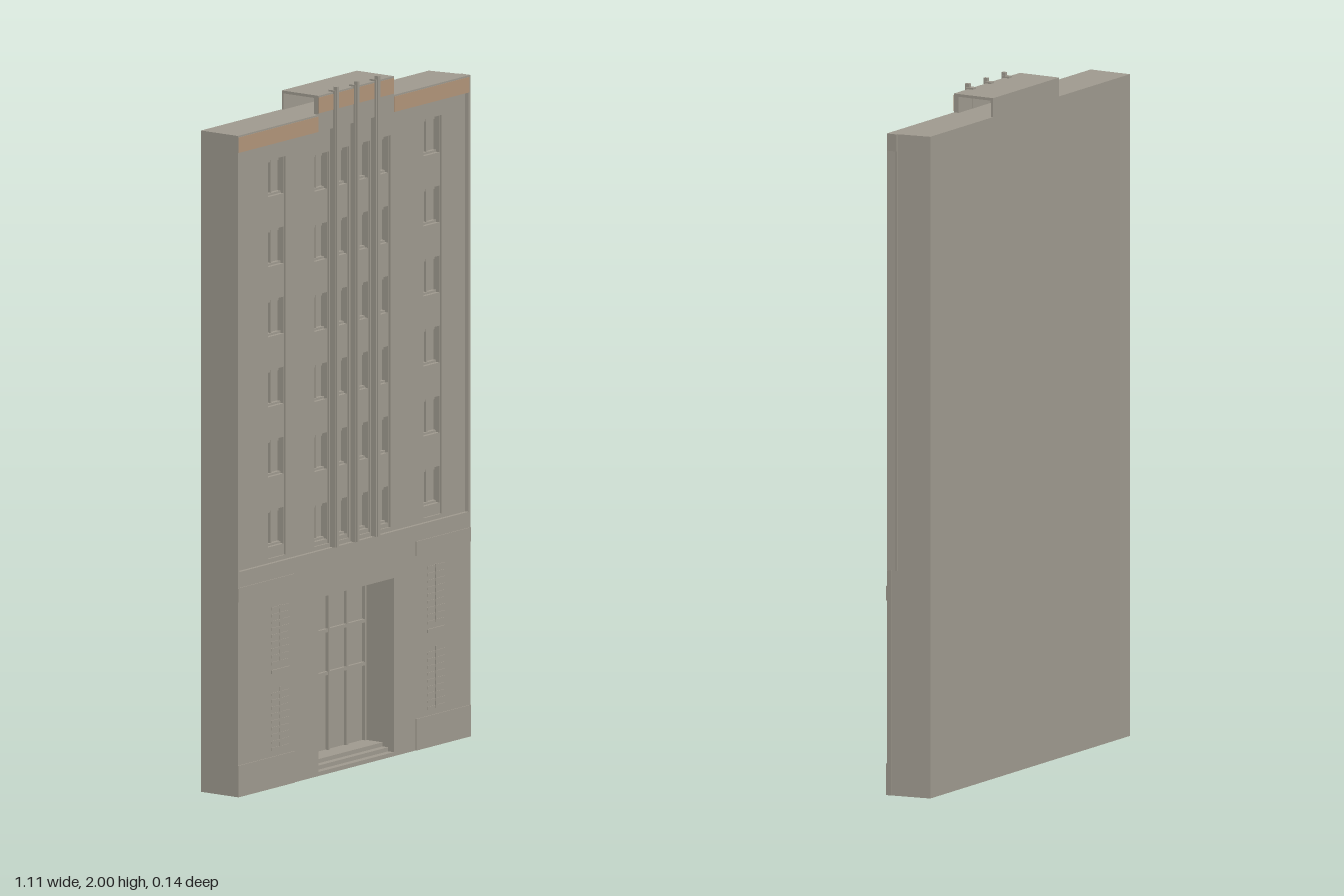
import * as THREE from 'three';

export function createModel() {
  const model = new THREE.Group();
  model.name = 'building';
  const stone = new THREE.MeshStandardMaterial({ color: 0x9e998e });
  stone.name = 'grey stone';
  const tan = new THREE.MeshStandardMaterial({ color: 0xb09479 });
  tan.name = 'tan cornice';

  const add = (name, geometry, material = stone) => {
    const mesh = new THREE.Mesh(geometry, material);
    mesh.name = name;
    model.add(mesh);
    return mesh;
  };
  // Box given by its limits
  const box = (name, x0, x1, y0, y1, z0, z1, material) => {
    const g = new THREE.BoxGeometry(x1 - x0, y1 - y0, z1 - z0);
    g.translate((x0 + x1) / 2, (y0 + y1) / 2, (z0 + z1) / 2);
    return add(name, g, material);
  };
  // Floor outline [x, z] raised from y0 to y1
  const plan = (name, pts, y0, y1) => {
    const shape = new THREE.Shape(pts.map(([x, z]) => new THREE.Vector2(x, -z)));
    const g = new THREE.ExtrudeGeometry(shape, { depth: y1 - y0, bevelEnabled: false });
    g.rotateX(-Math.PI / 2).translate(0, y0, 0);
    return add(name, g);
  };
  const rect = (Type, x0, x1, y0, y1) => new Type([
    new THREE.Vector2(x0, y0), new THREE.Vector2(x1, y0),
    new THREE.Vector2(x1, y1), new THREE.Vector2(x0, y1)]);
  // Upright panel with rectangular holes [x0, x1, y0, y1]
  const panel = (name, [x0, x1, y0, y1], holes, z0, z1) => {
    const shape = rect(THREE.Shape, x0, x1, y0, y1);
    holes.forEach((h) => shape.holes.push(rect(THREE.Path, ...h)));
    const g = new THREE.ExtrudeGeometry(shape, { depth: z1 - z0, bevelEnabled: false });
    return add(name, g.translate(0, 0, z0));
  };

  const L = -0.555, R = 0.552, RB = 0.53, F = 0.062, B = -0.07, roofY = 1.93;
  const doorL = -0.17, doorR = 0.188, doorTop = 0.52, ledge = 0.656;

  // Outer shell, open underneath, with a slanting right side
  box('backWall', L, RB, 0, roofY, B, B + 0.008);
  box('leftEndWall', L, L + 0.008, 0, roofY, B, F);
  plan('rightEndWall', [[R - 0.008, F], [R, F], [RB, B], [RB - 0.008, B]], 0, roofY);
  plan('roof', [[L, F], [R, F], [RB, B], [L, B]], roofY - 0.01, roofY);

  // Lower front wall around the entrance
  box('lowerWallLeft', L, doorL, 0, ledge, 0.046, F);
  box('lowerWallRight', doorR, R, 0, ledge, 0.046, F);
  box('lowerWallOverDoor', doorL, doorR, doorTop, ledge, 0.046, F);

  // Window columns: x limits, first sill, window height
  const columns = [
    [-0.397, -0.312, 0.70], [0.345, 0.43, 0.70],
    [-0.175, -0.105, 0.68], [-0.08, -0.01, 0.68], [0.02, 0.09, 0.68], [0.115, 0.186, 0.68],
  ];
  const winH = 0.109, step = 0.2045, rows = 6;
  const channels = columns.map(([x0, x1, y]) => [x0, x1, 0.668, y + step * (rows - 1) + winH]);

  // Upper front wall, set back, with a tall channel for each column
  panel('upperWall', [L + 0.004, R - 0.004, ledge, 1.88], channels, 0.03, 0.051);
  columns.forEach(([x0, x1, y], i) => {
    const wins = [];
    for (let r = 0; r < rows; r++) {
      const s = y + r * step;
      wins.push([x0 + 0.003, x1 - 0.003, s, s + winH - 0.002]);
    }
    panel('spandrels', channels[i], wins, 0.024, 0.045);
    box('windowPanes', x0, x1, channels[i][2], channels[i][3], 0.012, 0.022);
    wins.forEach(([a, b, s, t]) => {
      const m = (a + b) / 2;
      box('windowMullion', m - 0.003, m + 0.003, s, t, 0.022, 0.03);
      box('windowHead', a, b, t - 0.012, t, 0.022, 0.028);
      box('windowSill', a, b, s, s + 0.006, 0.022, 0.034);
    });
  });

  // Cornice bands with tan facing
  box('corniceBand', L, R, 1.88, roofY, 0.03, F);
  for (const [a, b] of [[L + 0.004, doorL - 0.002], [doorR + 0.002, R - 0.004]]) {
    box('corniceFacing', a, b, 1.88, 1.925, F, F + 0.001, tan);
  }

  // Raised centre parapet, open at both ends
  box('parapetFront', doorL, doorR, roofY, 1.985, 0.046, F);
  box('parapetFacing', doorL, doorR, roofY + 0.004, 1.98, F, F + 0.001, tan);
  box('parapetTop', doorL, doorR, 1.977, 1.985, B, F);
  box('parapetBack', doorL, doorR, roofY, 1.985, B, B + 0.007);

  // Tall fins between the centre windows
  for (const x of [-0.092, 0.006, 0.104]) {
    box('fin', x - 0.009, x + 0.009, ledge, 1.99, 0.045, 0.068);
    box('finRidge', x - 0.005, x + 0.005, ledge, 2, 0.06, 0.073);
  }

  // Deep entrance recess with glazed screen and steps
  const doorZ = -0.045;
  box('entranceJambLeft', doorL - 0.006, doorL, 0, doorTop, doorZ, 0.05);
  box('entranceJambRight', doorR, doorR + 0.006, 0, doorTop, doorZ, 0.05);
  box('entranceCeiling', doorL, doorR, doorTop, doorTop + 0.006, doorZ, 0.05);
  box('entranceScreen', doorL, doorR, 0, doorTop, doorZ - 0.006, doorZ);
  for (let i = 0; i <= 4; i++) {
    const x = doorL + 0.004 + (i * (doorR - doorL - 0.008)) / 4;
    box('entranceMullion', x - 0.004, x + 0.004, 0.03, doorTop, doorZ, doorZ + 0.01);
  }
  for (const y of [0.26, 0.385, 0.512]) {
    box('entranceTransom', doorL, doorR, y - 0.005, y + 0.005, doorZ, doorZ + 0.009);
  }
  for (let i = 0; i < 3; i++) {
    box('entranceStep', doorL, doorR, i * 0.012, (i + 1) * 0.012, doorZ, F - i * 0.02);
  }

  // Plinths, bands and shallow grilles on the lower wings
  for (const [a, b, g0, g1] of [[L, -0.29, -0.397, -0.312], [0.292, R, 0.345, 0.43]]) {
    box('plinth', a, b, 0, 0.092, F, F + 0.003);
    box('bandCourse', a, b, 0.568, 0.61, F, F + 0.003);
    for (const [y0, y1] of [[0.11, 0.29], [0.36, 0.53]]) {
      for (let y = y0; y < y1; y += 0.02) {
        box('grilleSlat', g0, g1, y, y + 0.008, F, F + 0.002);
      }
      box('grilleBar', (g0 + g1) / 2 - 0.003, (g0 + g1) / 2 + 0.003, y0, y1, F, F + 0.003);
    }
    box('grilleSill', g0, g1, 0.335, 0.345, F, F + 0.004);
  }
  return model;
}
